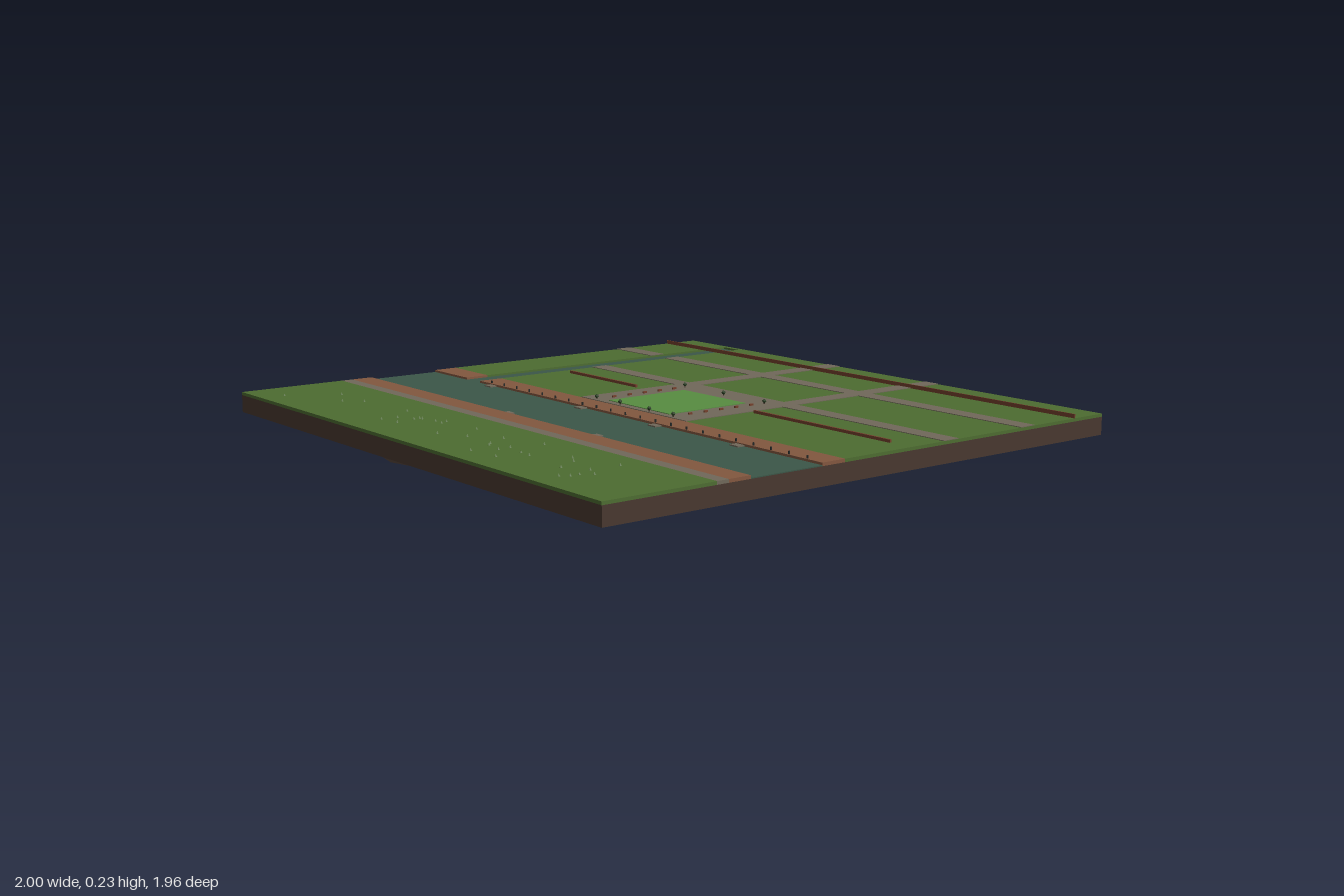
import * as THREE from 'three';

const mat = (name, color) => {
  const m = new THREE.MeshStandardMaterial({ color });
  m.name = name;
  return m;
};

export function createModel() {
  const root = new THREE.Group();
  root.name = 'townDiorama';
  const grass = mat('grass', 0x4d6c31);
  const lawn = mat('lawn', 0x578c41);
  const paving = mat('paving', 0x70685a);
  const brick = mat('brick', 0x82573f);
  const water = mat('water', 0x3b5648);
  const soil = mat('soil', 0x48382f);
  const rock = mat('rock', 0x2a201b);
  const foliage = mat('foliage', 0x2a4022);
  const iron = mat('iron', 0x262b2a);
  const redBrick = mat('redBrick', 0x74402c);
  rock.flatShading = true;
  foliage.flatShading = true;

  const add = (name, geo, m, x = 0, y = 0, z = 0) => {
    const mesh = new THREE.Mesh(geo, m);
    mesh.name = name;
    mesh.position.set(x, y, z);
    root.add(mesh);
    return mesh;
  };
  // Box given by its extents
  const slab = (name, m, x0, x1, y0, y1, z0, z1) =>
    add(name, new THREE.BoxGeometry(x1 - x0, y1 - y0, z1 - z0), m, (x0 + x1) / 2, (y0 + y1) / 2, (z0 + z1) / 2);

  const BASE = 0.145, BED = 0.202, G = 0.212;

  // Rocky underside: one broad cone and four small spikes
  const cone = (name, r, h, n, x, z) =>
    add(name, new THREE.ConeGeometry(r, h, n).rotateX(Math.PI), rock, x, BASE - h / 2, z);
  cone('rockUnderside', 0.978, BASE, 14, 0, 0);
  [[-0.72, -0.69], [0.75, -0.66], [0.79, 0.68], [-0.76, 0.72]].forEach(([x, z]) =>
    cone('rockSpike', 0.065, 0.056, 7, x, z));

  // Earth slab and water surfaces
  slab('earthSlab', soil, -1, 1, BASE, BED, -0.96, 0.96);
  slab('river', water, -1, 1, BED, BED + 0.003, 0.22, 0.475);
  slab('canal', water, -0.79, -0.705, BED, BED + 0.003, -0.94, 0.22);

  // Grass banks
  slab('grassWest', grass, -1, -0.79, BED, G, -0.96, 0.135);
  slab('grassCanalEnd', grass, -0.79, -0.705, BED, G, -0.96, -0.94);
  slab('grassEast', grass, -0.705, 1, BED, G, -0.96, 0.135);
  slab('grassSouth', grass, -1, 1, BED, G, 0.59, 0.96);

  // Brick quays and the southern road
  slab('quayWest', brick, -1, -0.79, BED, G, 0.135, 0.22);
  slab('quayEast', brick, -0.705, 1, BED, G, 0.135, 0.22);
  slab('quaySouth', brick, -1, 1, BED, G, 0.475, 0.55);
  slab('roadSouth', paving, -1, 1, BED, G, 0.55, 0.59);

  // Streets and square
  const road = (name, x0, x1, z0, z1) => slab(name, paving, x0, x1, G, G + 0.002, z0, z1);
  road('streetBackWest', -1, -0.79, -0.645, -0.585);
  road('streetBack', -0.705, 1, -0.645, -0.585);
  road('streetMiddle', -0.705, 1, -0.315, -0.255);
  [-0.23, 0.25].forEach((x) => {
    road('crossStreet', x, x + 0.06, -0.96, -0.645);
    road('crossStreet', x, x + 0.06, -0.585, -0.315);
  });
  road('square', -0.23, 0.31, -0.255, 0.135);
  slab('squareLawn', lawn, -0.115, 0.195, G, G + 0.004, -0.2, 0.11);

  // Low garden walls
  slab('wallWest', redBrick, -0.65, -0.27, G, G + 0.009, -0.124, -0.117);
  slab('wallEast', redBrick, 0.33, 0.92, G, G + 0.009, -0.124, -0.117);
  slab('wallBack', redBrick, -1, 1, G, G + 0.013, -0.832, -0.828);

  // Landing steps on both banks
  [-0.62, -0.1, 0.28, 0.66].forEach((x) =>
    slab('landingNorth', paving, x - 0.018, x + 0.018, BED, 0.209, 0.22, 0.245));
  [-0.165, 0.3].forEach((x) =>
    slab('landingSouth', paving, x - 0.016, x + 0.016, BED, 0.209, 0.45, 0.475));

  // Trees around the square
  const crown = new THREE.IcosahedronGeometry(0.007, 0);
  const trunk = new THREE.CylinderGeometry(0.002, 0.002, 0.01, 5);
  const tree = (x, z) => {
    add('treeTrunk', trunk, soil, x, G + 0.005, z);
    add('treeCrown', crown, foliage, x, G + 0.012, z);
  };
  [-0.16, 0.04, 0.24].forEach((x) => tree(x, -0.24));
  [-0.16, -0.035, 0.115, 0.235].forEach((x) => tree(x, 0.125));

  // Benches along the sides of the square
  const bench = new THREE.BoxGeometry(0.006, 0.006, 0.014);
  [-0.155, 0.235].forEach((x) => {
    for (let i = 0; i < 5; i++) add('bench', bench, redBrick, x, G + 0.005, -0.19 + i * 0.062);
  });

  // Mooring posts along the river
  const post = new THREE.CylinderGeometry(0.003, 0.003, 0.009, 6);
  for (let x = -0.64; x < 0.98; x += 0.075) add('mooringPost', post, iron, x, G + 0.0045, 0.214);

  // Scattered tufts in the southern meadow
  let seed = 7;
  const rnd = () => (seed = (seed * 16807) % 2147483647) / 2147483647;
  const tuft = new THREE.ConeGeometry(0.005, 0.008, 5);
  for (let i = 0; i < 36; i++) {
    add('meadowTuft', tuft, grass, -0.85 + 1.7 * rnd(), G + 0.004, 0.66 + 0.24 * rnd());
  }
  return root;
}
